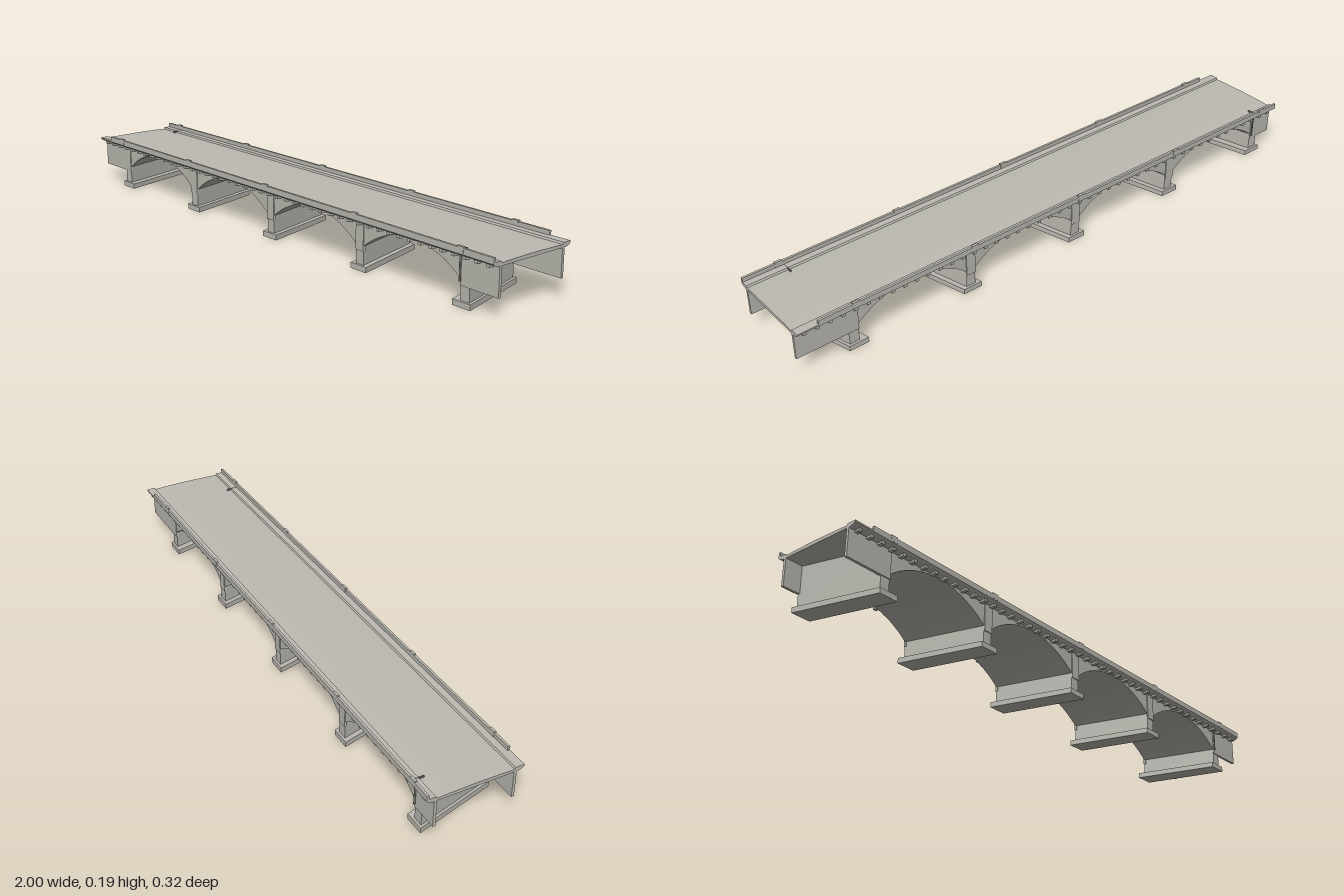
import * as THREE from 'three';
import { toCreasedNormals } from 'three/addons/utils/BufferGeometryUtils.js';

const SKEW = 0.27;              // piers run obliquely under the deck
const PITCH = 0.432, FIRST = -0.888, PIER_W = 0.034, SPRING = 0.078, CROWN = 0.152;
const pierX = (i, z = 0) => FIRST + PITCH * i + SKEW * z;

// Shift every vertex along x in proportion to z
function skew(geo) {
  const p = geo.attributes.position;
  for (let i = 0; i < p.count; i++) p.setX(i, p.getX(i) + SKEW * p.getZ(i));
  return geo;
}

export function createModel() {
  const concrete = new THREE.MeshStandardMaterial({ color: 0xbab8b0 });
  concrete.name = 'concrete';
  const roadway = new THREE.MeshStandardMaterial({ color: 0xbcbab2 });
  roadway.name = 'roadway';
  const metal = new THREE.MeshStandardMaterial({ color: 0x77766f });
  metal.name = 'drain metal';

  const bridge = new THREE.Group();
  bridge.name = 'archBridge';
  const add = (name, geo, mat = concrete) => {
    const m = new THREE.Mesh(geo, mat);
    m.name = name;
    bridge.add(m);
    return m;
  };
  // Box given by its limits on each axis
  const box = (name, x0, x1, y0, y1, z0, z1, mat, skewed = false) => {
    const g = new THREE.BoxGeometry(x1 - x0, y1 - y0, Math.abs(z1 - z0));
    g.translate((x0 + x1) / 2, (y0 + y1) / 2, (z0 + z1) / 2);
    if (skewed) { skew(g); g.computeVertexNormals(); }
    return add(name, g, mat);
  };

  // Arches and piers as one oblique solid
  const h = PIER_W / 2, a = PITCH / 2 - h, rise = CROWN - SPRING;
  const R = (a * a + rise * rise) / (2 * rise), sweep = Math.asin(a / R);
  const outline = [[pierX(0) - h, 0.156], [pierX(0) - h, 0.018]];
  for (let i = 0; i < 4; i++) {
    outline.push([pierX(i) + h, 0.018]);
    for (let k = 0; k <= 24; k++) {
      const t = -sweep + (2 * sweep * k) / 24;
      outline.push([pierX(i) + PITCH / 2 + R * Math.sin(t), CROWN - R + R * Math.cos(t)]);
    }
    outline.push([pierX(i + 1) - h, 0.018]);
  }
  outline.push([pierX(4) + h, 0.018], [pierX(4) + h, 0.156]);
  const arches = new THREE.ExtrudeGeometry(
    new THREE.Shape(outline.map(([x, y]) => new THREE.Vector2(x, y))),
    { depth: 0.264, bevelEnabled: false });
  arches.translate(0, 0, -0.132);
  add('archesAndPiers', toCreasedNormals(skew(arches), 0.4));

  // Footings, the end ones pushed slightly towards the spans
  for (let i = 0; i < 5; i++) {
    const c = pierX(i) + (i === 0 ? 0.008 : i === 4 ? -0.008 : 0);
    box('footing', c - 0.034, c + 0.034, 0, 0.018, -0.14, 0.14, concrete, true);
  }

  // Deck cross-section with cambered road and overhanging edges
  const half = [[0, 0.165], [0.09, 0.1635], [0.127, 0.162], [0.13, 0.168], [0.16, 0.168],
    [0.16, 0.163], [0.153, 0.157], [0.141, 0.153], [0, 0.153]];
  const section = [...half, ...half.slice(1, -1).reverse().map(([z, y]) => [-z, y])];
  const deck = new THREE.ExtrudeGeometry(
    new THREE.Shape(section.map(([z, y]) => new THREE.Vector2(z, y))),
    { depth: 2, bevelEnabled: false });
  deck.translate(0, 0, -1);
  deck.rotateY(Math.PI / 2);
  add('deck', deck, roadway);

  for (const s of [-1, 1]) {
    const side = s > 0 ? 'front' : 'back';
    const zIn = s * 0.126, zOut = s * 0.135;

    // Wing walls beyond the end piers
    box(side + 'WingRight', -1, pierX(0, zOut) + h, 0.062, 0.155, zIn, zOut);
    box(side + 'WingLeft', pierX(4, zOut) - h, 1, 0.062, 0.155, zIn, zOut);

    // Pilasters over the middle piers
    for (let i = 1; i < 4; i++) {
      const x = pierX(i, zOut);
      box(side + 'Pilaster', x - h, x + h, 0.062, 0.155, zIn, zOut);
    }

    // Parapet stops short at one end, with a raised block at every pier
    const x0 = s > 0 ? -0.93 : -1, x1 = s > 0 ? 1 : 0.93;
    box(side + 'Parapet', x0, x1, 0.166, 0.182, s * 0.152, s * 0.16);
    for (let i = 0; i < 5; i++) {
      const x = pierX(i, s * 0.14);
      box(side + 'ParapetBlock', x - 0.012, x + 0.012, 0.166, 0.186, s * 0.1515, s * 0.1605);
    }

    // Small brackets below the overhang
    for (let k = 0; k < 46; k++) {
      const x = -0.972 + k * 0.0432;
      box(side + 'Bracket', x - 0.006, x + 0.006, 0.147, 0.158, s * 0.132, s * 0.152);
    }

    // Drain channel and downpipe at one end pier
    const dx = s > 0 ? 0.86 : -0.91;
    box(side + 'DrainChannel', dx - 0.002, dx + 0.002, 0.16, 0.1685, s * 0.112, s * 0.151, metal);
    const pipe = new THREE.CylinderGeometry(0.003, 0.003, 0.085, 10);
    pipe.translate(dx, 0.1175, s * 0.138);
    add(side + 'Downpipe', pipe, metal);
  }
  return bridge;
}
